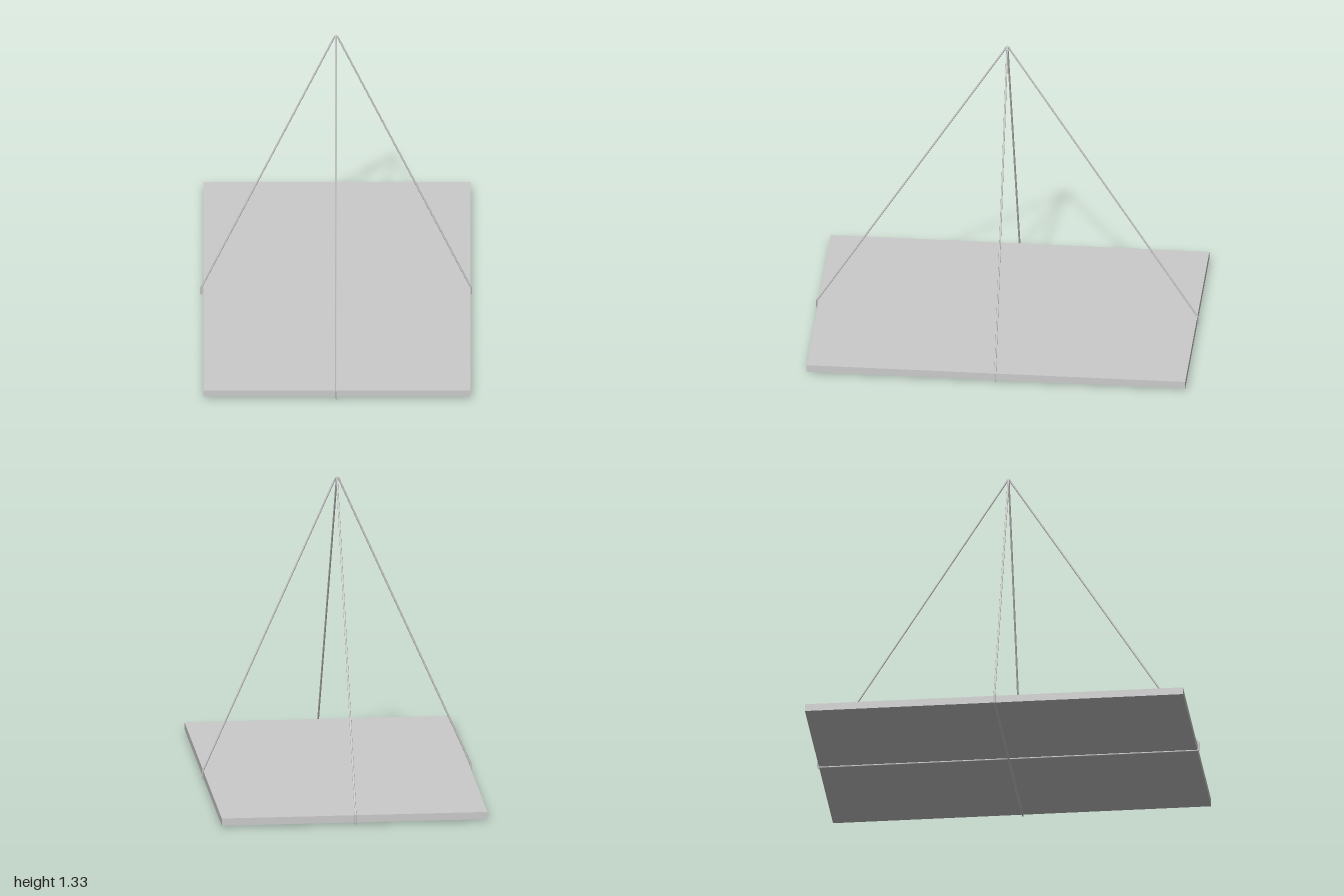
import * as THREE from 'three';
import { mergeGeometries } from 'three/addons/utils/BufferGeometryUtils.js';

const ROPE_R = 0.004;
const HALF_LENGTH = 0.816, HALF_WIDTH = 0.573;
const SLAB_BOTTOM = 0.008, SLAB_TOP = 0.04;

// Straight round bars joined by small balls around a closed run of points
function ropeLoop(points) {
  const up = new THREE.Vector3(0, 1, 0);
  const pieces = [];
  points.forEach((a, i) => {
    const dir = points[(i + 1) % points.length].clone().sub(a);
    const length = dir.length();
    const bar = new THREE.CylinderGeometry(ROPE_R, ROPE_R, length, 8, 1, true);
    bar.translate(0, length / 2, 0);
    bar.applyQuaternion(new THREE.Quaternion().setFromUnitVectors(up, dir.normalize()));
    bar.translate(a.x, a.y, a.z);
    const joint = new THREE.SphereGeometry(ROPE_R, 8, 6).translate(a.x, a.y, a.z);
    pieces.push(bar, joint);
  });
  return mergeGeometries(pieces);
}

// Sling outline: under the slab, up its edge, then to the rounded apex
function slingPoints(half) {
  const edge = half + ROPE_R;
  const side = [[edge, ROPE_R], [edge, SLAB_TOP], [0.011, 1.313], [0.005, 1.325]];
  const mirrored = side.map(([x, y]) => [-x, y]).reverse();
  return [...side, ...mirrored].map(([x, y]) => new THREE.Vector3(x, y, 0));
}

export function createModel() {
  const model = new THREE.Group();
  model.name = 'slungSlab';
  const material = new THREE.MeshStandardMaterial({ color: 0xcccccc });

  // Everything is turned about the vertical axis
  const load = new THREE.Group();
  load.name = 'load';
  load.rotation.y = 0.662;
  model.add(load);

  // Flat rectangular slab
  const thickness = SLAB_TOP - SLAB_BOTTOM;
  const slab = new THREE.Mesh(
    new THREE.BoxGeometry(HALF_LENGTH * 2, thickness, HALF_WIDTH * 2), material);
  slab.name = 'slab';
  slab.position.y = SLAB_BOTTOM + thickness / 2;
  load.add(slab);

  // Two crossing rope slings meeting at the apex
  const slings = [['longSling', HALF_LENGTH, 0], ['crossSling', HALF_WIDTH, Math.PI / 2]];
  for (const [name, half, turn] of slings) {
    const sling = new THREE.Mesh(ropeLoop(slingPoints(half)), material);
    sling.name = name;
    sling.rotation.y = turn;
    sling.position.set(-0.003, 0, -0.004);
    load.add(sling);
  }
  return model;
}
